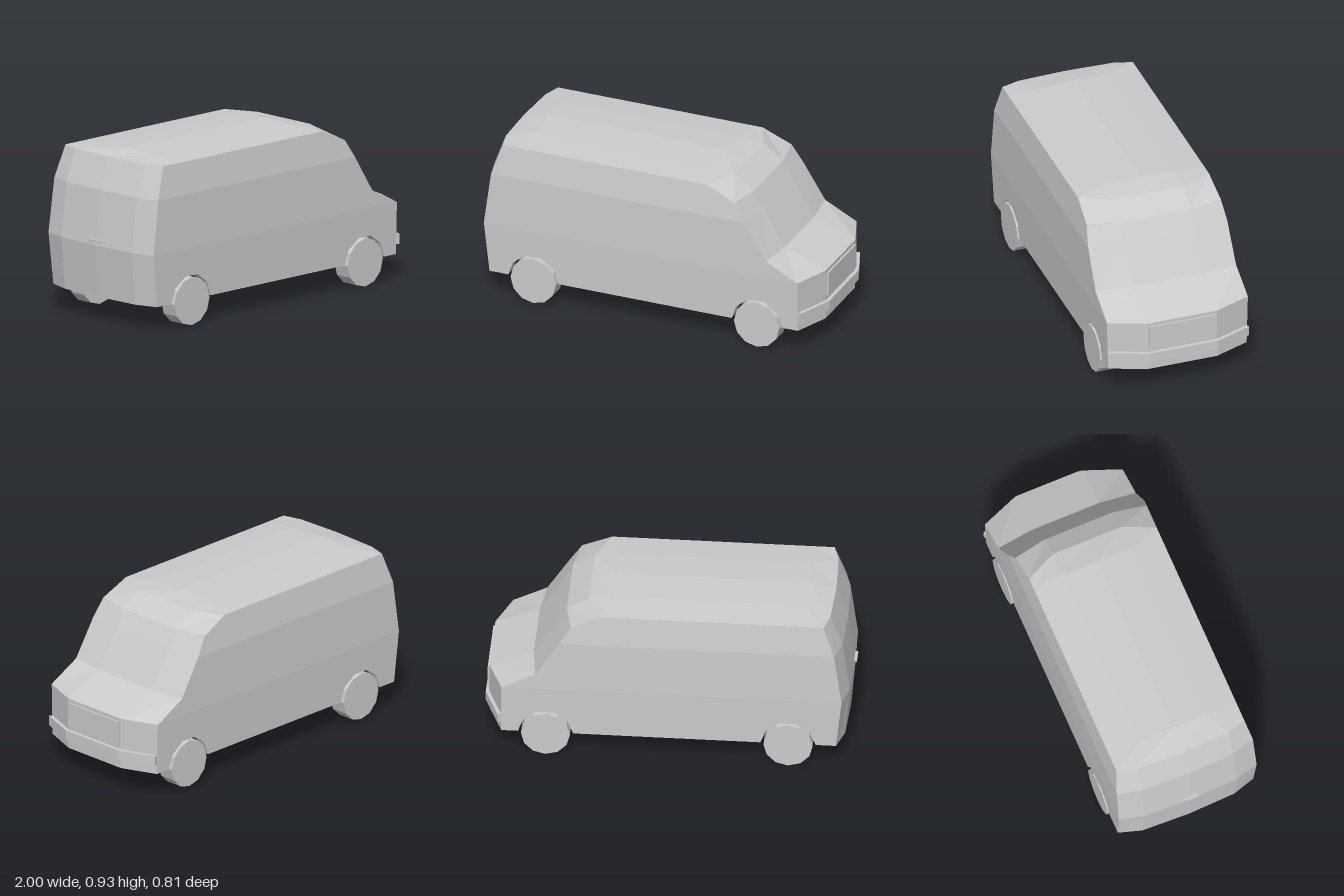
import * as THREE from 'three';

const mat = new THREE.MeshStandardMaterial({ color: 0xcccccc, flatShading: true, side: THREE.DoubleSide });

// half width of the body at height y
function halfWidth(y) {
  const k = [[0.14, 0.398], [0.43, 0.405], [0.73, 0.4], [0.905, 0.375]];
  for (let i = 0; i < 3; i++) {
    const [y0, w0] = k[i], [y1, w1] = k[i + 1];
    if (y <= y1) return w0 + (w1 - w0) * (y - y0) / (y1 - y0);
  }
  return 0.375;
}

// surface through a grid of points, rows x columns
function skin(rows) {
  const n = rows[0].length, pos = rows.flat(2), idx = [];
  for (let i = 0; i < rows.length - 1; i++)
    for (let j = 0; j < n - 1; j++) {
      const a = i * n + j, d = a + n;
      idx.push(a, a + 1, d + 1, a, d + 1, d);
    }
  const g = new THREE.BufferGeometry();
  g.setAttribute('position', new THREE.Float32BufferAttribute(pos, 3));
  g.setIndex(idx);
  g.computeVertexNormals();
  return g;
}

// one row across the body: x and y at the centre, the middle and the edge
function row(y, xc, xm, xe, m, yc = y, ym = y) {
  const w = halfWidth(y);
  return [[xe, y, -w], [xm, ym, -m], [xc, yc, 0], [xm, ym, m], [xe, y, w]];
}

export function createModel() {
  const model = new THREE.Group();
  const add = (name, g, parent = model) => {
    const m = new THREE.Mesh(g, mat);
    m.name = name;
    parent.add(m);
    return m;
  };

  // shell panels running across the van, from the rear sill over the roof to the nose
  const rear = [
    row(0.14, -0.965, -0.955, -0.915, 0.27),
    row(0.43, -0.99, -0.98, -0.945, 0.27),
    row(0.73, -0.95, -0.94, -0.905, 0.27),
    row(0.905, -0.885, -0.875, -0.845, 0.27),
  ];
  const roof = [
    rear[3],
    row(0.905, -0.74, -0.74, -0.74, 0.2, 0.931, 0.921),
    row(0.905, 0.3, 0.3, 0.3, 0.2, 0.931, 0.921),
    row(0.905, 0.44, 0.44, 0.36, 0.2),
    row(0.83, 0.56, 0.56, 0.525, 0.2),
  ];
  const windshield = [
    roof[4],
    row(0.826, 0.545, 0.545, 0.525, 0.2),
    row(0.73, 0.608, 0.608, 0.587, 0.2),
    row(0.525, 0.74, 0.74, 0.715, 0.2),
  ];
  const hood = [windshield[3], row(0.43, 0.98, 0.98, 0.9, 0.2)];
  const nose = [hood[1], row(0.14, 0.978, 0.978, 0.9, 0.2)];
  Object.entries({ rear, roof, windshield, hood, nose }).forEach(([n, r]) => add(n, skin(r)));

  // side walls in flat bands, the lowest one with wheel arches
  const arch = [[-0.15, 0.14], [-0.12, 0.22], [-0.045, 0.275], [0.045, 0.275], [0.12, 0.22], [0.15, 0.14]];
  const archAt = (x) => arch.map(([dx, y]) => [x + dx, y]);
  const bands = [
    [[-0.915, 0.14], ...archAt(-0.655), ...archAt(0.66), [0.9, 0.14], [0.9, 0.43], [-0.945, 0.43]],
    [[-0.945, 0.43], [0.9, 0.43], [0.715, 0.525], [0.587, 0.73], [-0.905, 0.73]],
    [[-0.905, 0.73], [0.587, 0.73], [0.525, 0.83], [0.36, 0.905], [-0.845, 0.905]],
  ];
  for (const s of [1, -1]) {
    const side = new THREE.Group();
    side.name = s > 0 ? 'nearSide' : 'farSide';
    model.add(side);
    for (const b of bands) {
      const g = new THREE.ShapeGeometry(new THREE.Shape(b.map(([x, y]) => new THREE.Vector2(x, y))));
      const p = g.attributes.position;
      for (let i = 0; i < p.count; i++) p.setZ(i, s * halfWidth(p.getY(i)));
      if (s < 0) g.index.array.reverse();
      g.computeVertexNormals();
      add('sidePanel', g, side);
    }
    for (const x of [-0.655, 0.66]) {
      // inward lip of the arch
      add('archLip', skin(archAt(x).map(([px, y]) =>
        [[px, y, s * halfWidth(y)], [px, y, s * 0.34]])), side);
      const wheel = add('wheel', new THREE.CylinderGeometry(0.133, 0.133, 0.1, 12), side);
      wheel.rotation.x = Math.PI / 2;
      wheel.position.set(x, 0.133, s * 0.355);
    }
  }

  // bumper following the plan of the nose
  const plan = [[0.92, -0.405], [1, -0.2], [1, 0.2], [0.92, 0.405], [0.89, 0.39], [0.96, 0.19], [0.96, -0.19], [0.89, -0.39]];
  const bumper = new THREE.ExtrudeGeometry(
    new THREE.Shape(plan.map(([x, z]) => new THREE.Vector2(x, z))), { depth: 0.055, bevelEnabled: false });
  bumper.rotateX(Math.PI / 2).translate(0, 0.25, 0);
  add('frontBumper', bumper);

  // grille and rear door handle
  add('grille', new THREE.BoxGeometry(0.02, 0.137, 0.38)).position.set(0.98, 0.342, 0);
  add('rearHandle', new THREE.BoxGeometry(0.02, 0.016, 0.08)).position.set(-0.99, 0.455, 0);
  return model;
}
